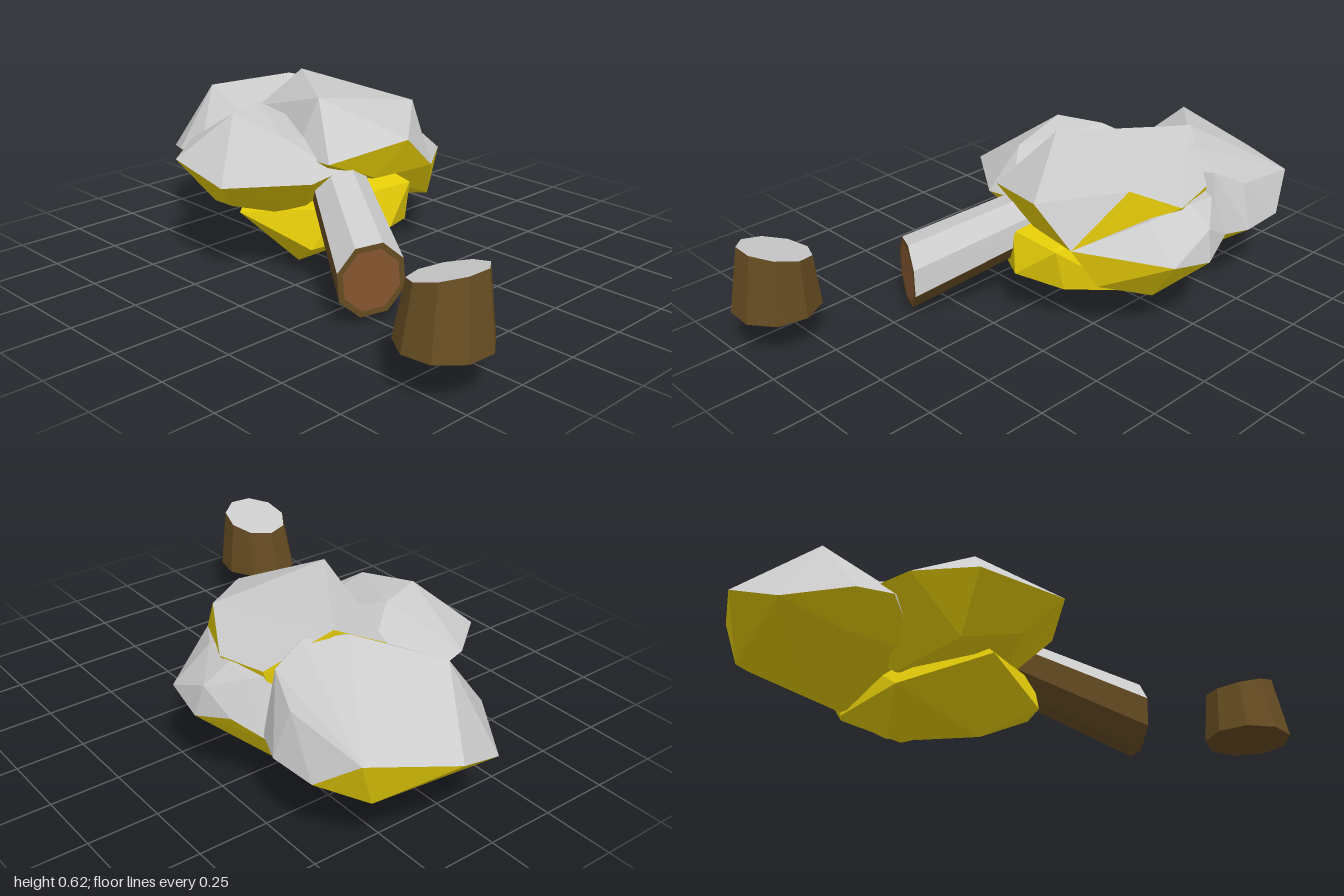
import * as THREE from 'three';
import { ConvexGeometry } from 'three/addons/geometries/ConvexGeometry.js';

const mat = (color) => new THREE.MeshStandardMaterial({ color, flatShading: true, side: THREE.DoubleSide });
const grey = mat(0xcccccc), leaf = mat(0xe4cb08), bark = mat(0x664c22), wood = mat(0x84552f);

// Split a geometry into an upward-facing pale cover and a coloured remainder
function splitByFacing(name, source, under, limit) {
  const group = new THREE.Group();
  group.name = name;
  const geo = source.index ? source.toNonIndexed() : source;
  const pos = geo.attributes.position;
  const sets = [[], []];
  const tri = new THREE.Triangle(), n = new THREE.Vector3();
  for (let i = 0; i < pos.count; i += 3) {
    tri.setFromAttributeAndIndices(pos, i, i + 1, i + 2);
    tri.getNormal(n);
    const set = sets[n.y > limit ? 0 : 1];
    for (const v of [tri.a, tri.b, tri.c]) set.push(v.x, v.y, v.z);
  }
  sets.forEach((set, i) => {
    if (!set.length) return;
    const g = new THREE.BufferGeometry();
    g.setAttribute('position', new THREE.Float32BufferAttribute(set, 3));
    g.computeVertexNormals();
    const mesh = new THREE.Mesh(g, i ? under : grey);
    mesh.name = name + (i ? 'Underside' : 'Cover');
    group.add(mesh);
  });
  return group;
}

// Faceted foliage clumps, each the hull of a few points
const clumps = {
  frontClump: [
    [-0.04, 0.62, -0.1], [0.24, 0.61, -0.5], [0.37, 0.55, -0.03], [0.13, 0.49, 0.175],
    [-0.16, 0.44, 0.08], [0.28, 0.36, 0.15], [-0.15, 0.43, -0.1], [0.46, 0.46, -0.2],
    [0.42, 0.47, -0.38], [0.05, 0.35, 0.1], [0.05, 0.25, -0.2], [0.36, 0.25, -0.42],
    [0.03, 0.5, -0.51], [0.12, 0.3, -0.5],
  ],
  sideClump: [
    [0.46, 0.46, -0.25], [0.42, 0.44, -0.08], [0.55, 0.4, -0.24], [0.575, 0.29, -0.22],
    [0.555, 0.32, -0.06], [0.28, 0.36, 0.15], [0.34, 0.22, 0.08], [0.43, 0.15, -0.1],
    [0.53, 0.33, -0.36], [0.45, 0.26, -0.43], [0.38, 0.14, -0.4], [0.15, 0.3, -0.1],
    [0.2, 0.25, -0.5], [0.25, 0.45, -0.45], [0.46, 0.45, -0.36],
  ],
  leftClump: [
    [-0.25, 0.56, -0.32], [-0.08, 0.56, -0.38], [-0.22, 0.515, -0.09], [-0.47, 0.38, -0.12],
    [-0.42, 0.4, -0.44], [-0.24, 0.41, -0.58], [-0.08, 0.4, -0.62], [-0.22, 0.38, 0.06],
    [-0.1, 0.4, 0.07], [-0.36, 0.27, -0.2], [-0.28, 0.22, -0.4], [-0.12, 0.2, -0.1],
    [0, 0.18, -0.45], [0.08, 0.48, -0.5], [0.15, 0.3, -0.45], [0.05, 0.45, -0.1],
  ],
  backClump: [
    [0.2, 0.595, -0.53], [0, 0.54, -0.76], [-0.18, 0.32, -0.74], [-0.19, 0.34, -0.6],
    [-0.06, 0.265, -0.94], [0.15, 0.35, -1], [0.42, 0.38, -0.86], [0.49, 0.27, -0.72],
    [0.5, 0.27, -0.54], [0.45, 0.43, -0.56], [0.45, 0.27, -0.42], [0.41, 0.5, -0.43],
    [0.36, 0.215, -0.84], [0.2, 0.12, -0.64], [0.3, 0.13, -0.46], [0.31, 0.57, -0.43],
    [-0.08, 0.22, -0.7], [-0.05, 0.25, -0.4], [0.2, 0.5, -0.3], [0.2, 0.2, -0.3], [-0.03, 0.45, -0.45],
  ],
  lowerClump: [
    [0.04, 0.19, 0.18], [0.19, 0.31, 0.13], [-0.02, 0.32, 0.13], [-0.09, 0, -0.16],
    [0.2, 0.035, -0.33], [0.2, 0.16, 0.1], [0.34, 0.14, -0.08], [-0.19, 0.12, 0.02],
    [-0.28, 0.21, -0.26], [-0.02, 0.13, -0.46], [0.33, 0.13, -0.44], [-0.1, 0.27, 0.08],
    [0.1, 0.4, -0.05], [-0.15, 0.35, -0.3], [0.3, 0.35, -0.4],
  ],
};

// Stump with a flared foot and a slanted, pale top
function stump() {
  const g = new THREE.Group();
  g.name = 'stump';
  const ring = (r, cx, cz, height) => Array.from({ length: 9 }, (_, i) => {
    const a = (i / 9) * Math.PI * 2 + 0.3;
    const x = cx + Math.sin(a) * r, z = cz + Math.cos(a) * r;
    return new THREE.Vector3(x, height(z), z);
  });
  const foot = ring(0.155, -0.43, 0.85, () => 0.15);
  const head = ring(0.124, -0.415, 0.845, (z) => 0.33 + (z - 0.72) * 0.28);
  g.add(splitByFacing('stumpBody', new ConvexGeometry([...foot, ...head]), bark, 0.6));
  return g;
}

// Fallen trunk running from its upright sawn end into the foliage
function trunk() {
  const g = new THREE.Group();
  g.name = 'trunk';
  const start = new THREE.Vector3(-0.28, 0.155, 0.405);
  const axis = new THREE.Vector3(0.18, 0.135, -0.31).normalize();
  const across = new THREE.Vector3(-axis.z, 0, axis.x).normalize();
  const place = new THREE.Matrix4()
    .makeBasis(across, axis, across.clone().cross(axis)).setPosition(start);
  const cut = new THREE.Vector3(-0.43, 0, 0.9);
  const length = 0.55, twist = 0.314;

  // Place a part and slide its near points along the axis onto the cut plane
  const fit = (geo) => {
    const pos = geo.attributes.position, v = new THREE.Vector3();
    for (let i = 0; i < pos.count; i++) {
      v.fromBufferAttribute(pos, i);
      const near = v.y < length / 2;
      v.applyMatrix4(place);
      if (near) v.addScaledVector(axis, -v.clone().sub(start).dot(cut) / axis.dot(cut));
      pos.setXYZ(i, v.x, v.y, v.z);
    }
    geo.computeVertexNormals();
    return geo;
  };

  const body = new THREE.CylinderGeometry(0.1, 0.123, length, 8, 1, true, twist).translate(0, length / 2, 0);
  g.add(splitByFacing('trunkBody', fit(body), bark, -0.02));
  // Sawn face with a darker bark rim
  const ends = {
    cutRim: [new THREE.RingGeometry(0.103, 0.123, 8, 1, -twist), bark],
    cutFace: [new THREE.CircleGeometry(0.103, 8, -twist), wood],
  };
  for (const [name, [geo, material]] of Object.entries(ends)) {
    const mesh = new THREE.Mesh(fit(geo.rotateX(Math.PI / 2)), material);
    mesh.name = name;
    g.add(mesh);
  }
  return g;
}

export function createModel() {
  const model = new THREE.Group();
  model.name = 'fallenTree';
  for (const [name, pts] of Object.entries(clumps)) {
    const hull = new ConvexGeometry(pts.map((p) => new THREE.Vector3(...p)));
    model.add(splitByFacing(name, hull, leaf, name === 'lowerClump' ? 1 : 0.03));
  }
  model.add(trunk(), stump());
  return model;
}
